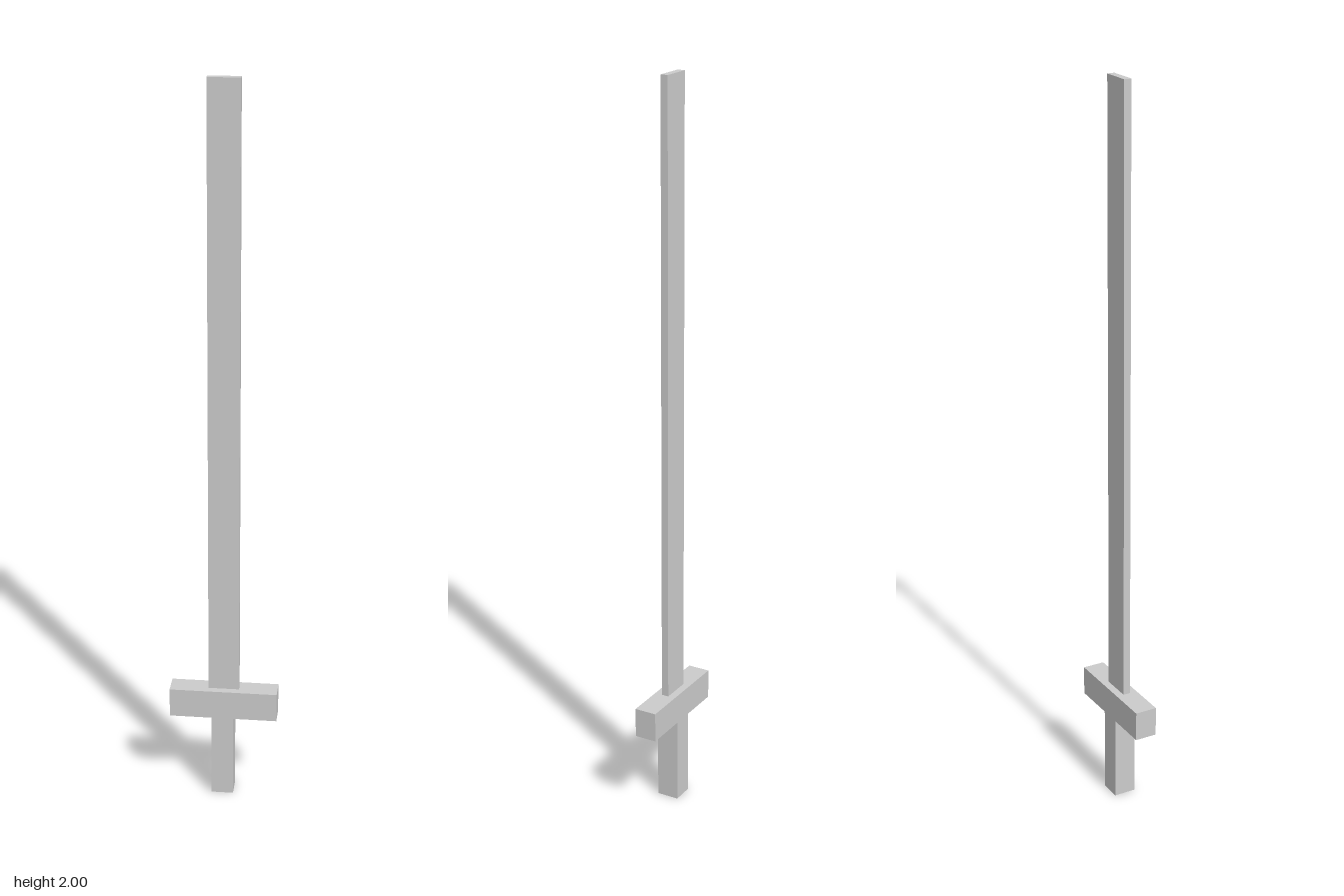
import * as THREE from 'three';

export function createModel() {
  const group = new THREE.Group();
  const material = new THREE.MeshStandardMaterial({ color: 0xcccccc, flatShading: true });

  // Box spanning y0..y1, centred on the sword's axis
  const addBox = (name, width, depth, y0, y1, x = 0) => {
    const mesh = new THREE.Mesh(new THREE.BoxGeometry(width, y1 - y0, depth), material);
    mesh.name = name;
    mesh.position.set(x, (y0 + y1) / 2, 0);
    group.add(mesh);
  };

  addBox('grip', 0.06, 0.061, 0, 0.238, -0.002);
  addBox('crossguard', 0.295, 0.061, 0.238, 0.32);
  addBox('blade', 0.084, 0.02, 0.32, 2);

  return group;
}
